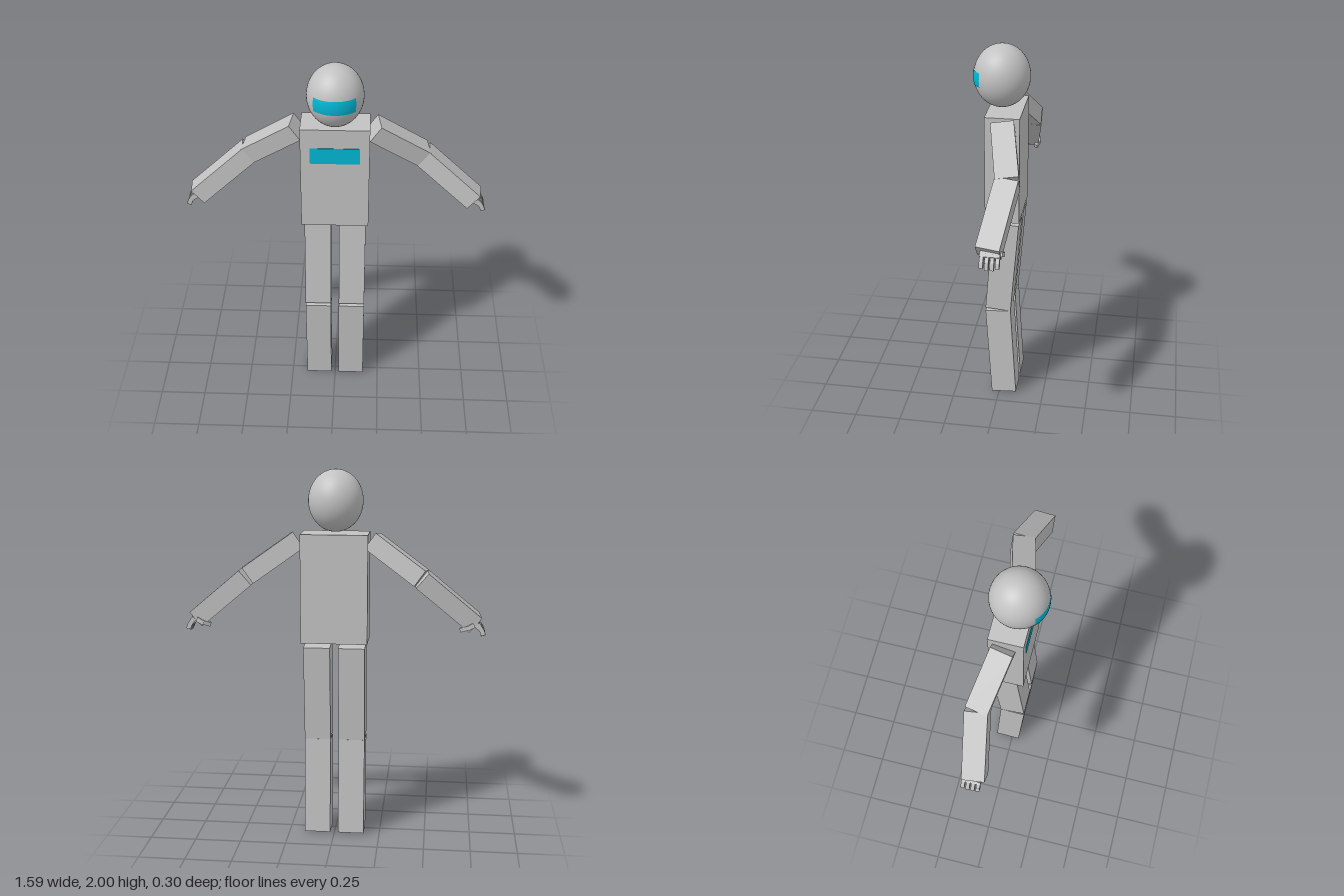
import * as THREE from 'three';

const grey = new THREE.MeshStandardMaterial({ color: 0xc2c2c2 });
grey.name = 'body grey';
const cyan = new THREE.MeshStandardMaterial({ color: 0x00b8d6 });
cyan.name = 'panel cyan';

function mesh(name, geometry, material, x = 0, y = 0, z = 0) {
  const m = new THREE.Mesh(geometry, material);
  m.name = name;
  m.position.set(x, y, z);
  return m;
}

// Box running from one point to another; depth stays as close to z as possible
function limb(name, from, to, width, depth) {
  const a = new THREE.Vector3(...from), b = new THREE.Vector3(...to);
  const yAxis = b.clone().sub(a);
  const length = yAxis.length();
  yAxis.normalize();
  const zAxis = new THREE.Vector3(0, 0, 1).addScaledVector(yAxis, -yAxis.z).normalize();
  const xAxis = new THREE.Vector3().crossVectors(yAxis, zAxis);
  const m = mesh(name, new THREE.BoxGeometry(width, length, depth), grey);
  m.quaternion.setFromRotationMatrix(new THREE.Matrix4().makeBasis(xAxis, yAxis, zAxis));
  m.position.copy(a.add(b).multiplyScalar(0.5));
  return m;
}

function createArm(s, side) {
  const arm = new THREE.Group();
  arm.name = side + 'Arm';
  arm.add(
    limb('upperArm', [s * 0.197, 1.633, -0.027], [s * 0.458, 1.45, -0.09], 0.1, 0.118),
    limb('forearm', [s * 0.457, 1.45, -0.09], [s * 0.737, 1.212, -0.041], 0.1, 0.118)
  );

  // Hand: short palm, four bent fingers and a thumb
  const hand = new THREE.Group();
  hand.name = 'hand';
  hand.add(limb('palm', [s * 0.725, 1.222, -0.051], [s * 0.765, 1.197, -0.051], 0.03, 0.095));
  for (let i = 0; i < 4; i++) {
    const z = -0.014 - i * 0.026;
    const drop = i === 0 || i === 3 ? 0.008 : 0;
    hand.add(
      limb('fingerBase', [s * 0.752, 1.215, z], [s * 0.777, 1.178, z], 0.024, 0.019),
      limb('fingerTip', [s * 0.775, 1.182, z], [s * 0.785, 1.147 + drop, z], 0.024, 0.019)
    );
  }
  hand.add(
    limb('thumbBase', [s * 0.735, 1.21, -0.1], [s * 0.7, 1.19, -0.104], 0.024, 0.02),
    limb('thumbTip', [s * 0.705, 1.195, -0.104], [s * 0.665, 1.18, -0.09], 0.022, 0.02)
  );
  arm.add(hand);
  return arm;
}

function createLeg(s, side) {
  const leg = new THREE.Group();
  leg.name = side + 'Leg';
  leg.add(
    limb('thigh', [s * 0.093, 1.072, -0.037], [s * 0.093, 0.549, 0.005], 0.142, 0.138),
    limb('shin', [s * 0.093, 0.539, 0.005], [s * 0.093, 0.005, -0.028], 0.142, 0.138)
  );
  return leg;
}

export function createModel() {
  const model = new THREE.Group();
  model.name = 'blockFigure';

  // Torso with chest panel
  model.add(
    mesh('torso', new THREE.BoxGeometry(0.355, 0.58, 0.18), grey, 0, 1.381, -0.019),
    mesh('chestPanel', new THREE.BoxGeometry(0.256, 0.09, 0.004), cyan, 0, 1.52, 0.072)
  );

  // Egg-shaped head with a visor curved over its face
  const head = new THREE.Group();
  head.name = 'head';
  head.position.set(0, 1.837, 0.006);
  head.scale.set(0.145, 0.163, 0.146);
  head.add(mesh('skull', new THREE.SphereGeometry(1, 48, 32), grey));
  head.add(mesh('visor', new THREE.SphereGeometry(1.015, 24, 6, Math.PI / 2 - 0.81, 1.62, 1.345, 0.46), cyan));
  model.add(head);

  for (const [s, side] of [[1, 'left'], [-1, 'right']]) {
    model.add(createArm(s, side), createLeg(s, side));
  }
  return model;
}
